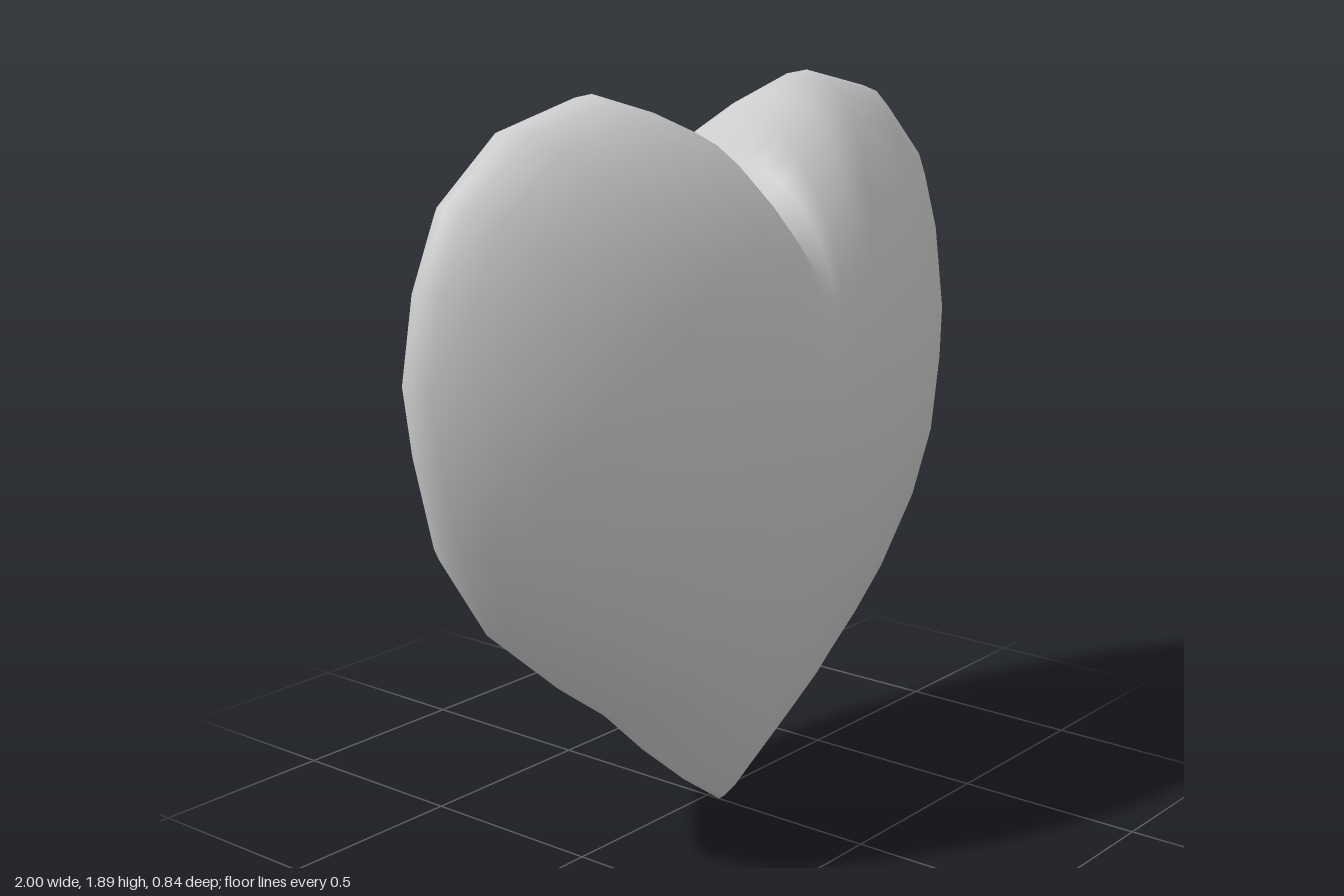
import * as THREE from 'three';
import { mergeVertices } from 'three/addons/utils/BufferGeometryUtils.js';

// Half outline of the heart, from the bottom tip up to the notch
const HALF = [
  [0, 0], [0.14, 0.1], [0.27, 0.21], [0.4, 0.34], [0.55, 0.45], [0.77, 0.64], [0.91, 0.86],
  [0.97, 1.1], [1, 1.28], [0.96, 1.5], [0.88, 1.68], [0.69, 1.83], [0.42, 1.89],
  [0.28, 1.85], [0.13, 1.79], [0.06, 1.7], [0, 1.53],
];
const CENTER_Y = 1.08, DEPTH = 0.42, RINGS = 20;

function heartGeometry() {
  // Full outline, counter-clockwise: one half up, the mirrored half down
  const outline = [...HALF, ...HALF.slice(1, -1).reverse().map(([x, y]) => [-x, y])];
  const n = outline.length;
  const positions = [], index = [];

  // Rings run from the front pole over the rim to the back pole
  for (let j = 0; j <= RINGS; j++) {
    const t = (j / RINGS) * Math.PI;
    const s = Math.sin(t), c = Math.cos(t);
    for (const [x, y] of outline) {
      const dy = y - CENTER_Y, rim = Math.hypot(x, dy), up = dy / rim;
      // Inner rings are nearly round; notch and tip form only towards the rim
      const round = 0.93 + (up > 0 ? -0.25 * up ** 8 : 0.14 * up ** 4);
      const r = s * THREE.MathUtils.lerp(round, rim, s ** 3);
      // Domed at the top, more tapered towards the tip
      const q = 0.63 + (up > 0 ? -0.13 : 0.19) * up * up;
      // The rim wanders slightly: back at the sides, forward at the tip
      const shift = (0.04 * Math.max(0, 1 - y / 0.6) - 0.035 * x * x) * s ** 4;
      const z = Math.sign(c) * DEPTH * Math.abs(c) ** (2 * q) + shift;
      positions.push((x / rim) * r, CENTER_Y + up * r, z);
    }
  }
  for (let j = 0; j < RINGS; j++) {
    for (let i = 0; i < n; i++) {
      const k = (i + 1) % n;
      const a = j * n + i, b = a + n, d = j * n + k, e = d + n;
      if (j < RINGS - 1) index.push(a, b, e);
      if (j > 0) index.push(a, e, d);
    }
  }
  let geometry = new THREE.BufferGeometry();
  geometry.setAttribute('position', new THREE.Float32BufferAttribute(positions, 3));
  geometry.setIndex(index);
  geometry = mergeVertices(geometry, 1e-4);
  geometry.computeVertexNormals();
  return geometry;
}

export function createModel() {
  const group = new THREE.Group();
  const heart = new THREE.Mesh(heartGeometry(), new THREE.MeshStandardMaterial({ color: 0xcccccc }));
  heart.name = 'heart';
  group.add(heart);
  return group;
}
